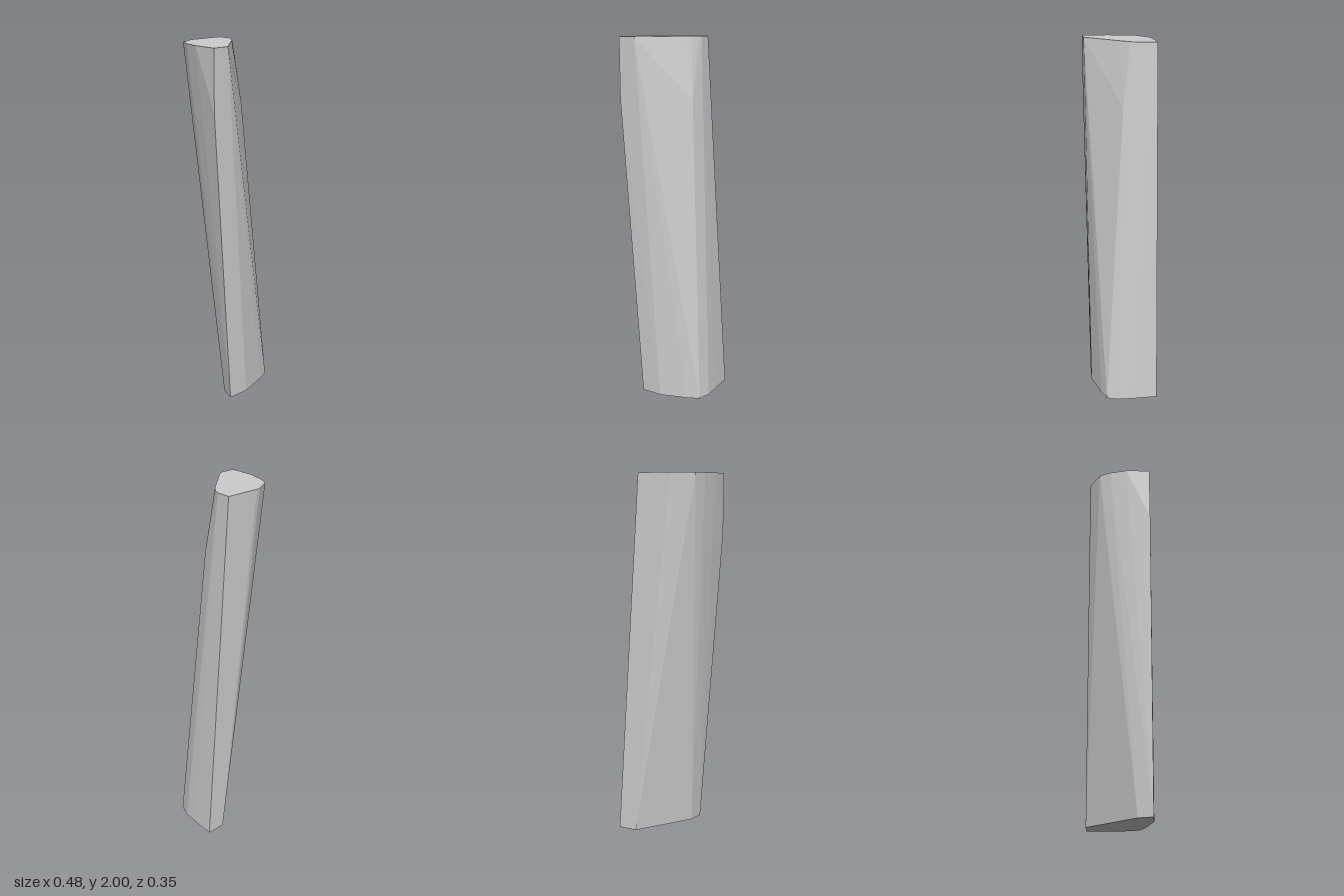
import * as THREE from 'three';
import { ConvexGeometry } from 'three/addons/geometries/ConvexGeometry.js';

// Outlines as [x, z] pairs, running round each cut end of the shard.
const topOutline = [
  [-0.08, -0.177], [0.103, -0.177], [0.103, -0.1], [0.095, -0.078],
  [0.072, -0.04], [0.03, 0.003], [-0.15, 0.175], [-0.241, 0.175],
  [-0.243, 0.04], [-0.222, -0.055], [-0.195, -0.117], [-0.107, -0.17],
];
const bottomOutline = [
  [0.241, -0.177], [0.241, -0.04], [0.238, 0.04], [0.215, 0.11],
  [0.15, 0.135], [-0.005, 0.175], [-0.122, 0.168], [-0.1, 0.09], [0.137, -0.177],
];
// Chipped corners a little below the top, as [x, y, z].
const chips = [[0.103, 1.67, 0], [-0.24, 1.68, 0.175]];

export function createModel() {
  const group = new THREE.Group();
  group.name = 'leaningShard';

  const atHeight = (outline, y) => outline.map(([x, z]) => new THREE.Vector3(x, y, z));
  const points = [
    ...atHeight(topOutline, 2),
    ...atHeight(bottomOutline, 0),
    ...chips.map((p) => new THREE.Vector3(...p)),
  ];

  // One faceted convex body stretched between the two flat ends.
  const shard = new THREE.Mesh(
    new ConvexGeometry(points),
    new THREE.MeshStandardMaterial({ color: 0xcccccc, flatShading: true }),
  );
  shard.name = 'shardBody';
  group.add(shard);
  return group;
}
